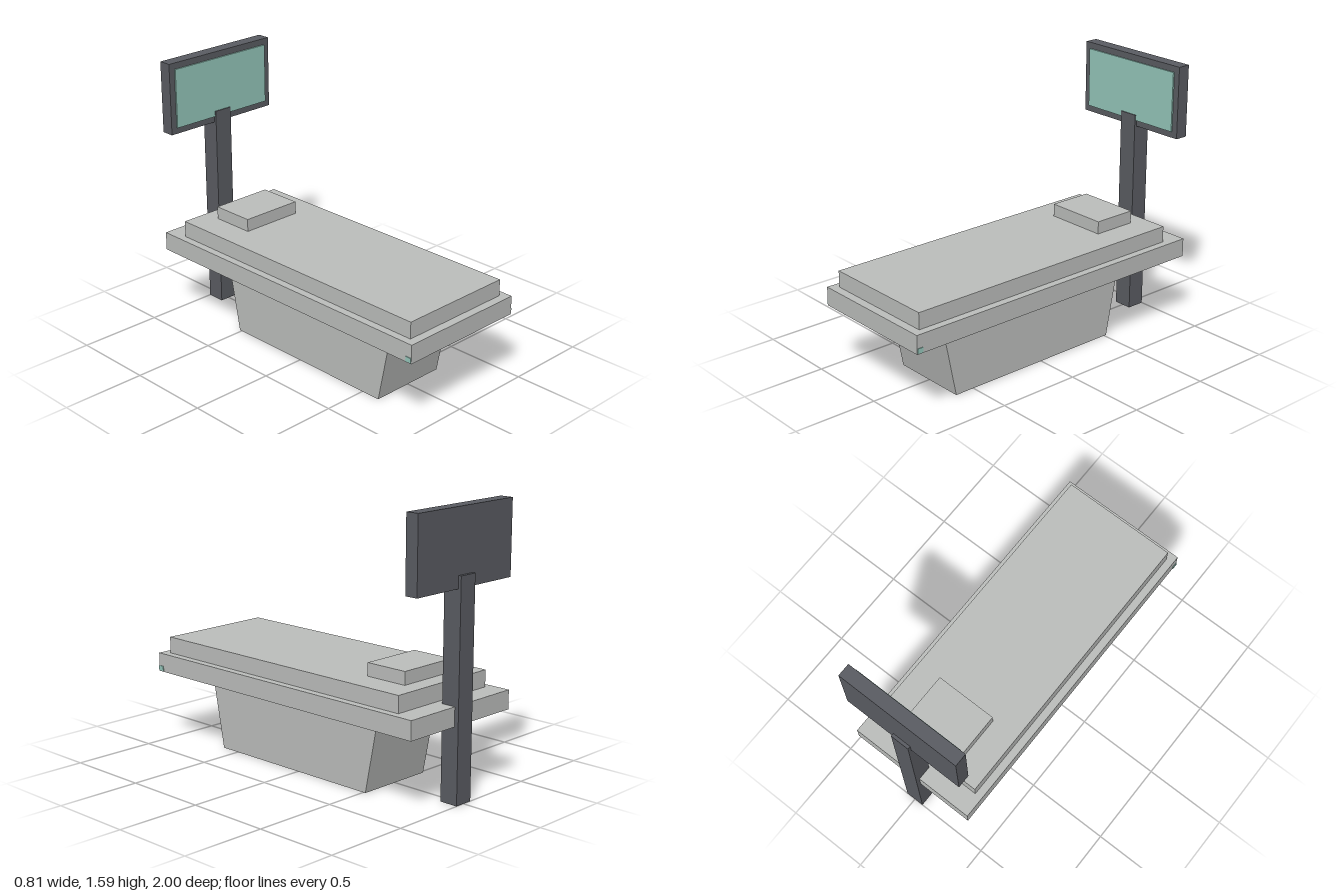
import * as THREE from 'three';

export function createModel() {
  const model = new THREE.Group();
  model.name = 'bedWithMonitor';

  const paint = (name, color) => {
    const material = new THREE.MeshStandardMaterial({ color });
    material.name = name;
    return material;
  };
  const paleGrey = paint('pale grey', 0xbdbfbd);
  const darkGrey = paint('dark grey', 0x5b5d63);
  const teal = paint('teal', 0x96c8bc);

  const add = (name, geometry, material) => {
    const mesh = new THREE.Mesh(geometry, material);
    mesh.name = name;
    model.add(mesh);
  };

  // Box centred on x, given its half width and its y and z ranges
  const addBox = (name, halfWidth, [y0, y1], [z0, z1], material) => {
    const geometry = new THREE.BoxGeometry(2 * halfWidth, y1 - y0, z1 - z0);
    geometry.translate(0, (y0 + y1) / 2, (z0 + z1) / 2);
    add(name, geometry, material);
  };

  // Pedestal: side profile (z, y) flaring upwards, extruded across the width
  const profile = new THREE.Shape([
    new THREE.Vector2(-0.515, 0),
    new THREE.Vector2(0.62, 0),
    new THREE.Vector2(0.705, 0.43),
    new THREE.Vector2(-0.6, 0.43),
  ]);
  const pedestal = new THREE.ExtrudeGeometry(profile, { depth: 0.476, bevelEnabled: false });
  pedestal.translate(0, 0, -0.238).rotateY(-Math.PI / 2);
  add('pedestal', pedestal, paleGrey);

  // Bed
  addBox('bedFrame', 0.4, [0.43, 0.54], [-0.975, 1], paleGrey);
  addBox('mattress', 0.355, [0.54, 0.637], [-0.848, 0.95], paleGrey);
  addBox('pillow', 0.189, [0.637, 0.712], [-0.745, -0.48], paleGrey);

  // Light strip, showing only at the sides of the foot end
  addBox('lightStrip', 0.404, [0.436, 0.464], [0.962, 0.999], teal);

  // Monitor on its post
  addBox('post', 0.057, [0, 1.235], [-1, -0.89], darkGrey);
  addBox('monitorCase', 0.377, [1.165, 1.59], [-0.982, -0.905], darkGrey);
  addBox('screen', 0.34, [1.202, 1.553], [-0.905, -0.896], teal);

  return model;
}
